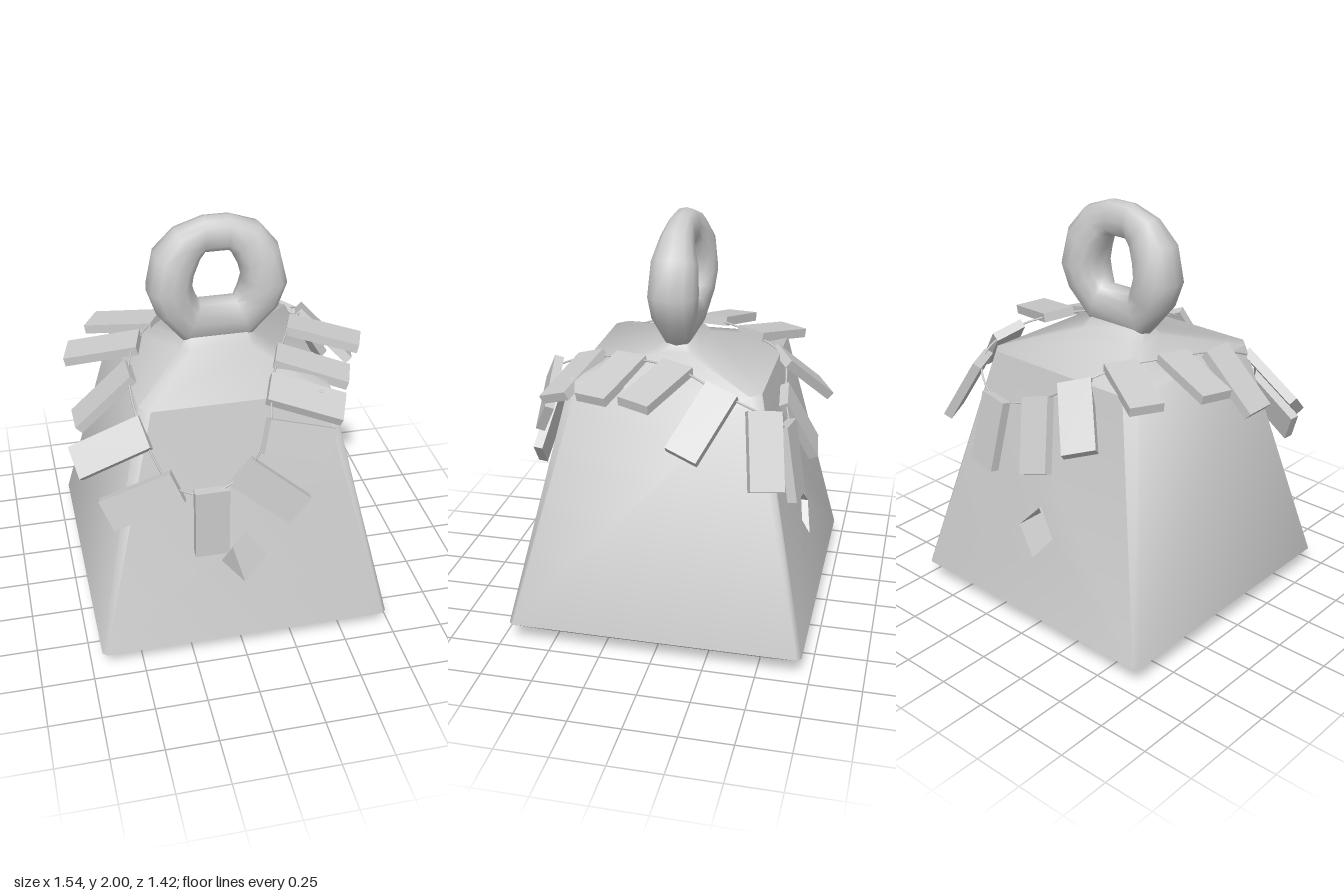
import * as THREE from 'three';
import { toCreasedNormals } from 'three/addons/utils/BufferGeometryUtils.js';

const grey = new THREE.MeshStandardMaterial({ color: 0xcccccc });
const greyDouble = new THREE.MeshStandardMaterial({ color: 0xcccccc, side: THREE.DoubleSide });
const { lerp } = THREE.MathUtils;

// Joins rings of points with quads; skip(i, j) leaves a quad open.
function loft(rings, closed = false, skip = () => false) {
  const out = [];
  const last = closed ? rings.length : rings.length - 1;
  for (let i = 0; i < last; i++) {
    const lower = rings[i], upper = rings[(i + 1) % rings.length], n = lower.length;
    for (let j = 0; j < n; j++) {
      if (skip(i, j)) continue;
      const k = (j + 1) % n;
      out.push(...lower[j], ...lower[k], ...upper[k], ...lower[j], ...upper[k], ...upper[j]);
    }
  }
  return out;
}

function smoothGeometry(positions, crease) {
  const g = new THREE.BufferGeometry();
  g.setAttribute('position', new THREE.Float32BufferAttribute(positions, 3));
  return toCreasedNormals(g, crease);
}

function add(parent, name, geometry, material = grey) {
  const mesh = new THREE.Mesh(geometry, material);
  mesh.name = name;
  parent.add(mesh);
  return mesh;
}

// Square section with narrow chamfered corners
function squareRing(y, hx, hz, c) {
  const x = hx - c, z = hz - c;
  return [[x, hz], [hx, z], [hx, -z], [x, -hz], [-x, -hz], [-hx, -z], [-hx, z], [-x, hz]]
    .map(([px, pz]) => [px, y, pz]);
}

const LOW = { y: 0.1, h: 0.71, c: 0.02 }, HIGH = { y: 1.28, h: 0.45, c: 0.05 };
const faceDepth = y => lerp(LOW.h, HIGH.h, (y - LOW.y) / (HIGH.y - LOW.y));
const diamond = [[0, 0.38], [0.11, 0.51], [0.01, 0.64], [-0.11, 0.51]];

function buildBody() {
  const body = new THREE.Group();
  body.name = 'body';
  body.position.x = 0.01;

  // Tapered block: bottom, bevel, walls, shoulder and neck
  const rings = [
    squareRing(0, 0.001, 0.001, 0.0002),
    squareRing(0, 0.57, 0.57, 0.02),
    squareRing(LOW.y, LOW.h, LOW.h, LOW.c),
    squareRing(HIGH.y, HIGH.h, HIGH.h, HIGH.c),
    squareRing(1.365, 0.19, 0.11, 0.04),
    squareRing(1.42, 0.16, 0.06, 0.03),
  ];
  const positions = loft(rings, false, (i, j) => i === 2 && (j === 3 || j === 7));

  // Front and back walls pierced by the diamond
  const a = LOW.h - LOW.c, b = HIGH.h - HIGH.c;
  const wall = new THREE.Shape([[-a, LOW.y], [a, LOW.y], [b, HIGH.y], [-b, HIGH.y]]
    .map(p => new THREE.Vector2(...p)));
  wall.holes.push(new THREE.Path(diamond.map(p => new THREE.Vector2(...p))));
  const p = new THREE.ShapeGeometry(wall).toNonIndexed().attributes.position;
  for (const s of [1, -1]) {
    for (let i = 0; i < p.count; i++) {
      positions.push(s * p.getX(i), p.getY(i), s * faceDepth(p.getY(i)));
    }
  }
  add(body, 'weightBlock', smoothGeometry(positions, 1.1));

  // Walls of the diamond tunnel
  const ends = [1, -1].map(s => diamond.map(([x, y]) => [x, y, s * faceDepth(y)]));
  add(body, 'diamondTunnel', smoothGeometry(loft(ends), 0.5), greyDouble);
  return body;
}

// Ring handle: outer and inner outlines bridged by a rounded section
function buildHandle() {
  const outer = [[0.07, 2], [0.21, 1.95], [0.30, 1.84], [0.345, 1.66], [0.30, 1.53], [0.17, 1.38],
    [-0.16, 1.38], [-0.28, 1.53], [-0.325, 1.66], [-0.29, 1.84], [-0.19, 1.95], [-0.05, 2]];
  const inner = [[0.06, 1.83], [0.08, 1.81], [0.11, 1.75], [0.13, 1.67], [0.115, 1.62], [0.095, 1.58],
    [-0.07, 1.58], [-0.09, 1.61], [-0.11, 1.67], [-0.10, 1.73], [-0.07, 1.8], [-0.05, 1.83]];
  const depth = [0.065, 0.08, 0.11, 0.12, 0.11, 0.08];
  const round = v => Math.sign(v) * Math.abs(v) ** 0.8;
  const rings = outer.map((o, i) => {
    const n = inner[i], hz = depth[i < 6 ? i : 11 - i], ring = [];
    for (let j = 0; j < 12; j++) {
      const f = j / 12 * Math.PI * 2, t = (1 - round(Math.cos(f))) / 2;
      ring.push([lerp(o[0], n[0], t), lerp(o[1], n[1], t), hz * round(Math.sin(f))]);
    }
    return ring;
  });
  return smoothGeometry(loft(rings, true), 1.2);
}

// Necklace plates: centre, hanging direction, outward direction
const plates = [
  [[-0.155, 0.78, 0.655], [0, -1, 0], [0, 0, 1]],
  [[0.12, 0.915, 0.655], [0.265, -0.23, 0.03], [0, 0.1, 1]],
  [[0.26, 1.135, 0.605], [0.325, -0.13, -0.05], [0.1, 0.4, 0.9]],
  [[0.33, 1.26, 0.46], [0.325, -0.1, 0.09], [0.1, 0.95, 0.4]],
  [[0.415, 1.3, 0.25], [0.34, -0.1, 0.115], [0.2, 1, 0.1]],
  [[0.54, 1.33, 0.01], [0.33, -0.07, 0.13], [0.2, 1, 0]],
  [[0.615, 1.2, -0.215], [0.24, -0.24, 0.14], [0.7, 0.7, 0]],
  [[0.58, 1.075, -0.495], [0.19, -0.32, -0.05], [0.75, 0.45, -0.4]],
  [[0.335, 0.93, -0.585], [0.04, -0.35, -0.06], [0.1, 0.15, -1]],
  [[0.03, 1.0, -0.575], [-0.11, -0.31, -0.14], [0, 0.35, -0.9]],
  [[-0.215, 1.16, -0.555], [-0.2, -0.23, -0.19], [-0.2, 0.75, -0.6]],
  [[-0.385, 1.3, -0.37], [-0.31, -0.07, -0.175], [-0.15, 1, -0.1]],
  [[-0.525, 1.31, -0.115], [-0.35, -0.08, -0.1], [-0.2, 1, 0]],
  [[-0.565, 1.21, 0.16], [-0.26, -0.24, 0], [-0.7, 0.7, 0]],
  [[-0.58, 1.115, 0.45], [-0.32, -0.16, -0.05], [-0.2, 0.7, 0.65]],
  [[-0.465, 0.91, 0.6], [-0.31, -0.15, -0.06], [-0.1, 0.25, 0.95]],
];

function buildNecklace() {
  const necklace = new THREE.Group();
  necklace.name = 'necklace';
  const box = new THREE.BoxGeometry(0.16, 0.36, 0.045);
  const knots = [];
  for (const [c, d, n] of plates) {
    const centre = new THREE.Vector3(...c);
    const up = new THREE.Vector3(...d).normalize().negate();
    const side = new THREE.Vector3().crossVectors(up, new THREE.Vector3(...n)).normalize();
    const face = new THREE.Vector3().crossVectors(side, up);
    const plate = add(necklace, 'plate', box);
    plate.quaternion.setFromRotationMatrix(new THREE.Matrix4().makeBasis(side, up, face));
    plate.position.copy(centre);
    knots.push(centre.clone().addScaledVector(up, 0.165));
  }
  // Thin cord threaded through the inner end of every plate
  const curve = new THREE.CatmullRomCurve3(knots, true);
  add(necklace, 'cord', new THREE.TubeGeometry(curve, 128, 0.005, 6, true));
  return necklace;
}

export function createModel() {
  const model = new THREE.Group();
  model.name = 'necklacedWeight';
  model.add(buildBody(), buildNecklace());
  add(model, 'ringHandle', buildHandle());
  return model;
}
